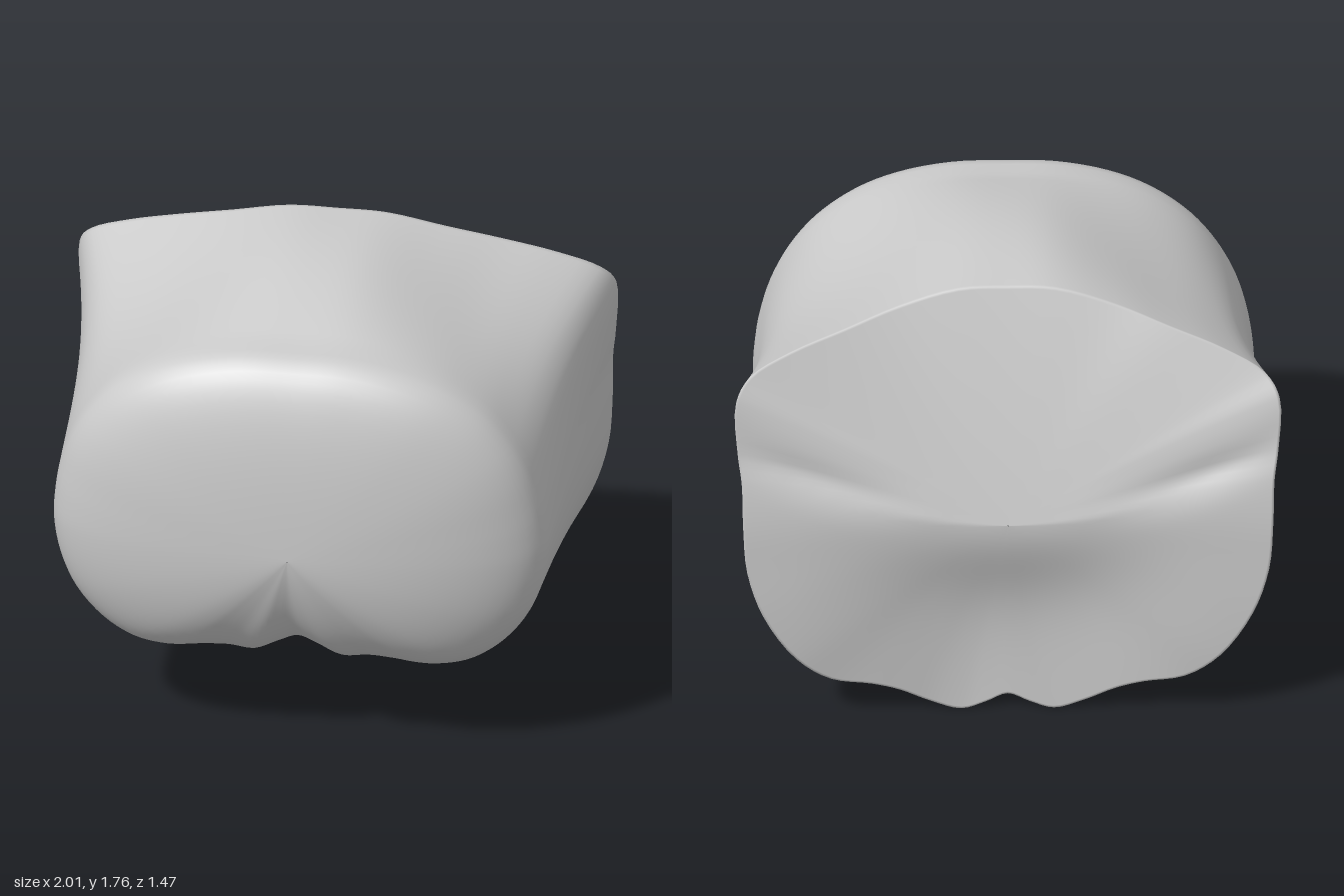
import * as THREE from 'three';

// Half outlines, top centre to bottom centre; rows of the two tables correspond
const REAR = [
  [0, 1.755, -0.43], [0.18, 1.75, -0.435], [0.4, 1.695, -0.465], [0.6, 1.632, -0.52], [0.8, 1.565, -0.57],
  [0.95, 1.49, -0.62], [1, 1.41, -0.665], [0.995, 1.2, -0.685], [0.98, 1.08, -0.715], [0.975, 0.9, -0.735],
  [0.96, 0.7, -0.735], [0.9, 0.5, -0.73], [0.78, 0.3, -0.71], [0.65, 0.19, -0.68], [0.5, 0.15, -0.655],
  [0.4, 0.11, -0.635], [0.28, 0.04, -0.61], [0.17, 0, -0.6], [0.08, 0.03, -0.6], [0, 0.065, -0.6],
];
const FRONT = [
  [0, 1.655, 0.46], [0.2, 1.65, 0.46], [0.4, 1.61, 0.46], [0.56, 1.545, 0.45], [0.7, 1.445, 0.43],
  [0.8, 1.32, 0.42], [0.86, 1.2, 0.41], [0.9, 1.06, 0.4], [0.915, 0.96, 0.4], [0.92, 0.85, 0.4],
  [0.895, 0.7, 0.4], [0.84, 0.57, 0.4], [0.74, 0.45, 0.4], [0.63, 0.38, 0.4], [0.5, 0.355, 0.4],
  [0.38, 0.365, 0.4], [0.27, 0.37, 0.4], [0.17, 0.36, 0.4], [0.08, 0.4, 0.4], [0, 0.43, 0.4],
];
const SEG = 152;
const FRONT_POLE = new THREE.Vector3(0, 0.89, 0.735);
const REAR_POLE = new THREE.Vector3(0, 0.89, -0.72);

// Mirror a half outline and sample it as a smooth closed loop
function outline(half) {
  const right = half.map((p) => new THREE.Vector3(...p));
  const left = half.slice(1, -1).reverse().map(([x, y, z]) => new THREE.Vector3(-x, y, z));
  const curve = new THREE.CatmullRomCurve3([...right, ...left], true);
  return Array.from({ length: SEG }, (_, i) => curve.getPoint(i / SEG));
}

// Skin a list of loops with quads
function loft(rings) {
  const position = rings.flat().flatMap((p) => [p.x, p.y, p.z]);
  const index = [];
  for (let r = 0; r < rings.length - 1; r++) {
    for (let i = 0; i < SEG; i++) {
      const j = (i + 1) % SEG;
      const a = r * SEG + i, b = r * SEG + j;
      index.push(a, b, a + SEG, b, b + SEG, a + SEG);
    }
  }
  const geometry = new THREE.BufferGeometry();
  geometry.setAttribute('position', new THREE.Float32BufferAttribute(position, 3));
  geometry.setIndex(index);
  geometry.computeVertexNormals();
  return geometry;
}

// Height of a point's direction seen from the pole: 1 above, -1 below
function upness(p) {
  const dy = p.y - FRONT_POLE.y;
  return dy / Math.hypot(p.x, dy);
}

// Depth of the rear face: sloping panel above a curved ridge, hollow below it
function rearDepth(x, y) {
  const h = y - (0.89 + 0.3 * x * x);
  const side = THREE.MathUtils.smoothstep(Math.abs(x), 0.25, 0.8);
  const fold = 0.03 * side * Math.exp(-(((h - 0.05) / 0.08) ** 2));
  if (h > 0) return -0.72 + 0.29 * h + 0.05 * h * h + fold;
  const middle = Math.exp(-((x / 0.48) ** 2));
  return -0.72 - 0.015 * side * (1 - Math.exp(h / 0.1)) + 0.13 * middle * (1 - Math.exp(-((h / 0.32) ** 2))) + fold;
}

export function createModel() {
  const group = new THREE.Group();
  const front = outline(FRONT);
  const rear = outline(REAR);
  const rings = [];

  // Domed front, fuller above than below
  const CAP = 18;
  for (let k = 0; k < CAP; k++) {
    const s = Math.max(0.002, Math.sin((k / CAP) * Math.PI / 2));
    rings.push(front.map((f) => {
      const u = upness(f);
      const power = 2 + (u > 0 ? 0.5 : 0.6) * u;
      const bulge = 0.45 - (u > 0 ? 0.14 : 0.09) * u;
      const v = FRONT_POLE.clone().lerp(f, s);
      v.z = f.z + (FRONT_POLE.z - f.z) * Math.pow(1 - Math.pow(s, power), bulge);
      return v;
    }));
  }

  // Walls flaring back to the rear rim, pinched in before the upper corners
  const WALL = 20;
  for (let k = 0; k <= WALL; k++) {
    const t = 1 - Math.pow(1 - k / WALL, 1.4), swell = Math.sin(Math.PI * t);
    rings.push(front.map((f, i) => {
      const v = f.clone().lerp(rear[i], t);
      const u = upness(v);
      const corner = u > 0 ? 4 * u * u * (1 - u * u) : 0;
      const pinch = 1 - 0.05 * swell * corner;
      v.x *= pinch * (1 - 0.012 * swell);
      v.y = FRONT_POLE.y + (v.y - FRONT_POLE.y) * pinch;
      v.y += swell * (u > 0 ? 0.045 * u ** 6 : 0.02 * u * u);
      return v;
    }));
  }

  // Rear face, rings closing in from the rim
  const FACE = 36;
  for (let k = 1; k <= FACE; k++) {
    const s = Math.max(0.002, 1 - Math.pow(k / FACE, 1.3));
    rings.push(rear.map((r) => {
      const v = REAR_POLE.clone().lerp(r, s);
      v.z = rearDepth(v.x, v.y) + (r.z - rearDepth(r.x, r.y)) * s ** 3;
      return v;
    }));
  }

  const body = new THREE.Mesh(loft(rings), new THREE.MeshStandardMaterial({ color: 0xcccccc }));
  body.name = 'mouldedBody';
  group.add(body);
  return group;
}
